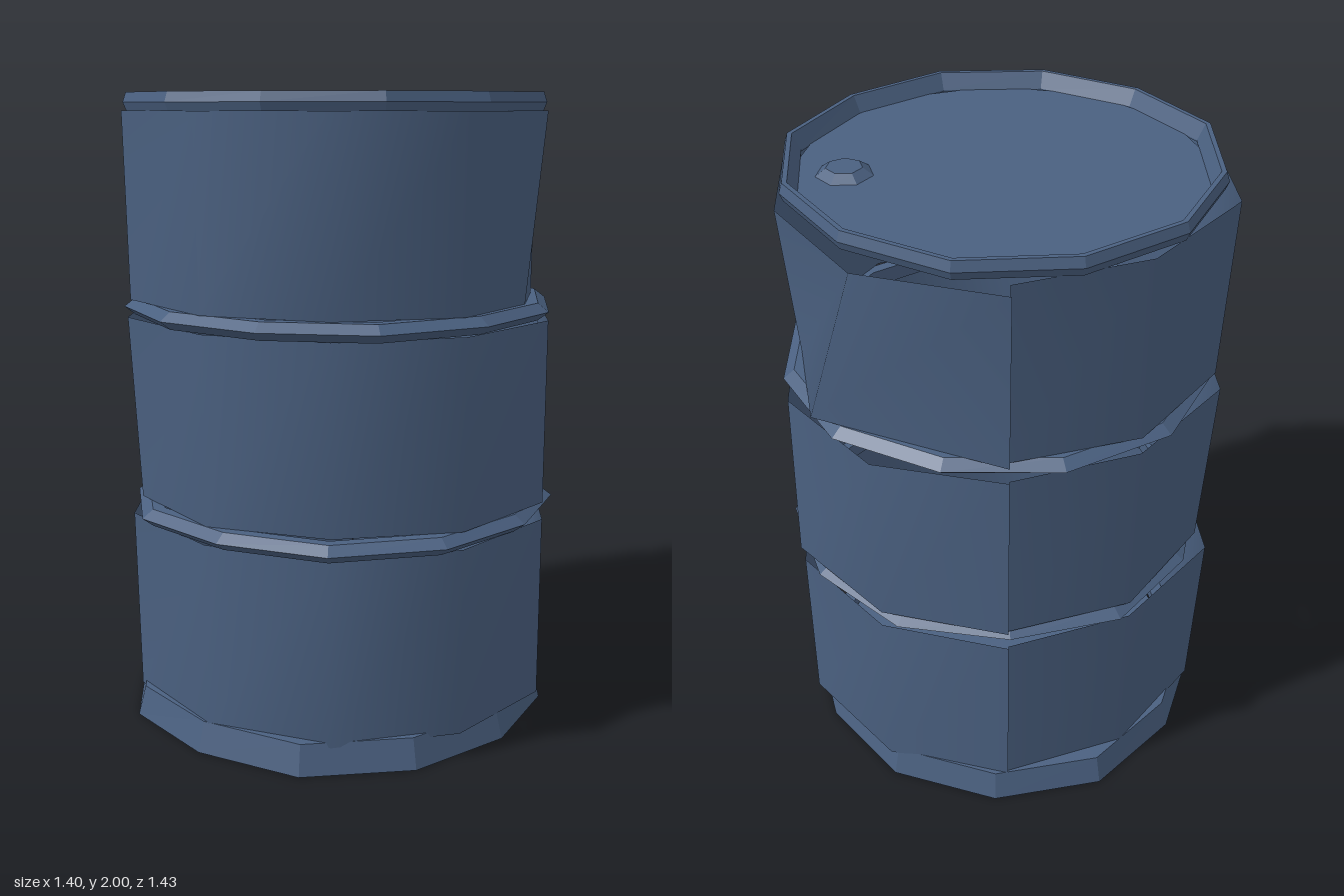
import * as THREE from 'three';

const steel = new THREE.MeshStandardMaterial({ color: 0x4a6080, side: THREE.DoubleSide });
steel.name = 'blue steel';

// Skin stacked horizontal cross-sections, each an array of [x, y, z] points
function skin(sections, loop = false, flat = false) {
  const n = sections[0].length, index = [];
  const rows = loop ? sections.length : sections.length - 1;
  for (let j = 0; j < rows; j++) {
    const k = (j + 1) % sections.length;
    for (let i = 0; i < n - 1; i++) {
      const a = j * n + i, b = k * n + i;
      index.push(a, b, a + 1, a + 1, b, b + 1);
    }
  }
  let geo = new THREE.BufferGeometry();
  geo.setAttribute('position', new THREE.Float32BufferAttribute(sections.flat(2), 3));
  geo.setIndex(index);
  if (flat) geo = geo.toNonIndexed();
  geo.computeVertexNormals();
  return geo;
}

// Angle 0 is the seam at the back, turning towards +x
const polar = (r, angle, y, x = 0, z = 0) => [x + r * Math.sin(angle), y, z - r * Math.cos(angle)];

// Bent wall sheet, split along the back seam; turns shifts single bottom corners, in degrees
function panel(y0, y1, bottom, top, turns = []) {
  const section = (radii, y, shift) => radii.map((r, i) =>
    polar(r, THREE.MathUtils.degToRad((i / (radii.length - 1)) * 360 + (shift[i] ?? 0)), y));
  return skin([section(bottom, y0, turns), section(top, y1, [])]);
}

// Dented hoop with a closed [radius, y] profile
function hoop(profile, sides, turn, x, z, dent) {
  return skin(profile.map(([r, y]) => {
    const points = [];
    for (let i = 0; i <= sides; i++) {
      const k = i % sides;
      const wobble = dent * Math.sin(k * 2.4 + turn * 5);
      points.push(polar(r + wobble, turn + (k / sides) * Math.PI * 2, y, x, z));
    }
    return points;
  }), true, true);
}

export function createModel() {
  const drum = new THREE.Group();
  drum.name = 'dentedDrum';
  const add = (name, geo) => {
    const mesh = new THREE.Mesh(geo, steel);
    mesh.name = name;
    drum.add(mesh);
    return mesh;
  };

  // Three wall sheets
  add('lowerWall', panel(0.08, 0.67,
    [0.66, 0.66, 0.68, 0.68, 0.66, 0.655, 0.66, 0.69, 0.70, 0.66, 0.65],
    [0.66, 0.66, 0.68, 0.68, 0.66, 0.655, 0.66, 0.70, 0.72, 0.66, 0.65]));
  add('middleWall', panel(0.725, 1.31,
    [0.655, 0.66, 0.69, 0.68, 0.66, 0.63, 0.65, 0.67, 0.68, 0.66, 0.64],
    [0.655, 0.67, 0.68, 0.68, 0.66, 0.65, 0.66, 0.70, 0.71, 0.66, 0.645]));
  add('upperWall', panel(1.365, 1.945,
    [0.66, 0.68, 0.61, 0.62, 0.65, 0.635, 0.66, 0.69, 0.69, 0.66, 0.63],
    [0.71, 0.70, 0.66, 0.66, 0.67, 0.675, 0.67, 0.70, 0.71, 0.66, 0.65],
    [0, 20, 15, 5]));

  // Rolling hoops between the sheets
  const rib = (y) => [[0.61, y - 0.027], [0.65, y - 0.027], [0.685, y], [0.65, y + 0.027], [0.61, y + 0.027]];
  add('lowerHoop', hoop(rib(0.698), 12, 1.57, -0.005, 0.025, 0.012));
  add('upperHoop', hoop(rib(1.338), 12, 1.35, -0.01, 0.02, 0.01));

  // Flared foot and rolled top rim, both sloping in to a recessed plate
  add('footRim', hoop([[0.61, 0.055], [0.66, 0], [0.685, 0], [0.66, 0.095], [0.61, 0.095]],
    12, 0.1, -0.025, 0, 0.012));
  add('topRim', hoop([[0.61, 1.945], [0.65, 1.945], [0.66, 1.97], [0.65, 2], [0.635, 2], [0.61, 1.95]],
    12, 0.26, -0.02, 0.02, 0.008));

  // Lid and base plates
  const plate = (name, y, tilt) => {
    const mesh = add(name, new THREE.CircleGeometry(0.625, 12));
    mesh.rotation.x = tilt;
    mesh.position.set(-0.02, y, 0.015);
  };
  plate('lid', 1.95, -Math.PI / 2);
  plate('base', 0.05, Math.PI / 2);

  // Bung cap on the lid
  const bung = add('bungCap', new THREE.CylinderGeometry(0.055, 0.09, 0.025, 7).toNonIndexed());
  bung.geometry.computeVertexNormals();
  bung.position.set(0.44, 1.96, 0.01);

  return drum;
}
